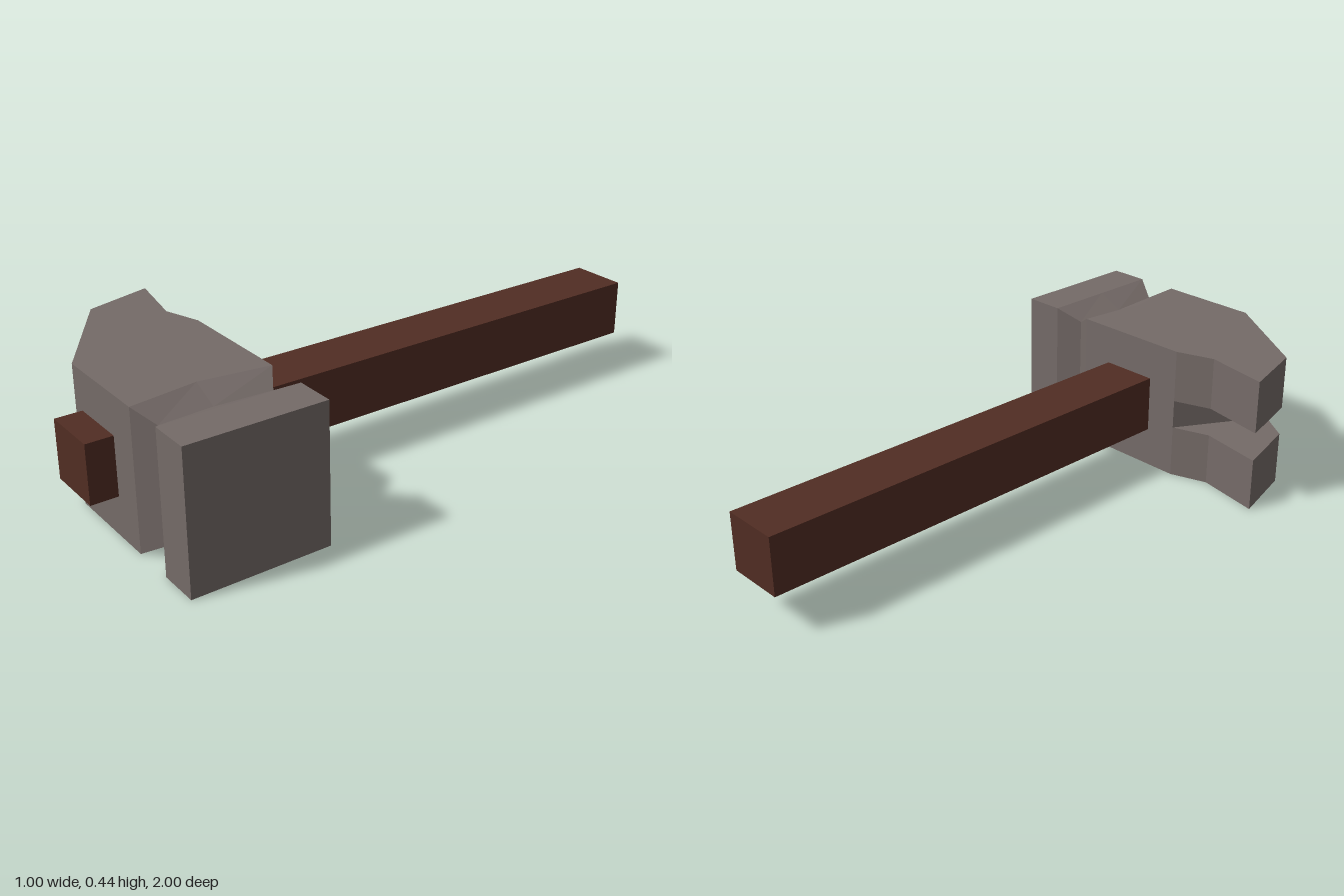
import * as THREE from 'three';

const Y0 = 0, Y1 = 0.44, SLOT0 = 0.172, SLOT1 = 0.267;

// Horizontal slab from an [x, z] outline, between two heights
function slab(outline, y0, y1) {
  const shape = new THREE.Shape(outline.map(([x, z]) => new THREE.Vector2(x, -z)));
  const geo = new THREE.ExtrudeGeometry(shape, { depth: y1 - y0, bevelEnabled: false });
  return geo.rotateX(-Math.PI / 2).translate(0, y0, 0);
}

// Loft along x through six-point rings: x at the corners, x at mid depth, z and y ranges
function loft(rings) {
  const pos = [], idx = [], n = 6;
  for (const [x, xm, z0, z1, y0, y1] of rings) {
    pos.push(x, y0, z0, xm, y0, 0.7, x, y0, z1, x, y1, z1, xm, y1, 0.7, x, y1, z0);
  }
  for (let r = 0; r < rings.length - 1; r++) {
    for (let j = 0; j < n; j++) {
      const a = r * n + j, b = r * n + (j + 1) % n;
      idx.push(a, a + n, b, b, a + n, b + n);
    }
  }
  // Striking face
  const e = (rings.length - 1) * n;
  for (let j = 1; j < n - 1; j++) idx.push(e, e + j + 1, e + j);
  const geo = new THREE.BufferGeometry();
  geo.setAttribute('position', new THREE.Float32BufferAttribute(pos, 3));
  geo.setIndex(idx);
  const flat = geo.toNonIndexed();
  flat.computeVertexNormals();
  return flat;
}

export function createModel() {
  const steel = new THREE.MeshStandardMaterial({ color: 0x756b68 });
  steel.name = 'steel';
  const wood = new THREE.MeshStandardMaterial({ color: 0x512d23 });
  wood.name = 'wood';

  const model = new THREE.Group();
  model.name = 'hammer';
  const head = new THREE.Group();
  head.name = 'head';
  model.add(head);

  const add = (parent, name, geo, mat) => {
    const mesh = new THREE.Mesh(geo, mat);
    mesh.name = name;
    parent.add(mesh);
    return mesh;
  };

  // Body with two claw prongs; the middle layer stops at the slot floor
  const body = [[-0.17, 0.48], [0.23, 0.48], [0.2, 0.7], [0.23, 0.915], [-0.105, 0.915]];
  const prong = [...body, [-0.44, 0.695], [-0.5, 0.48], [-0.29, 0.52]];
  add(head, 'lowerClaw', slab(prong, Y0, SLOT0), steel);
  add(head, 'slotCore', slab([...body, [-0.29, 0.69]], SLOT0, SLOT1), steel);
  add(head, 'upperClaw', slab(prong, SLOT1, Y1), steel);

  // Pinched neck and striking block
  add(head, 'neckAndFace', loft([
    [0.23, 0.2, 0.48, 0.915, Y0, Y1],
    [0.295, 0.285, 0.52, 0.87, 0.04, 0.4],
    [0.37, 0.37, 0.48, 0.915, Y0, Y1],
    [0.5, 0.5, 0.48, 0.915, Y0, Y1],
  ]), steel);

  // Square handle running through the head
  add(model, 'handle', new THREE.BoxGeometry(0.187, 0.185, 2), wood)
    .position.set(0.03, 0.221, 0);

  return model;
}
